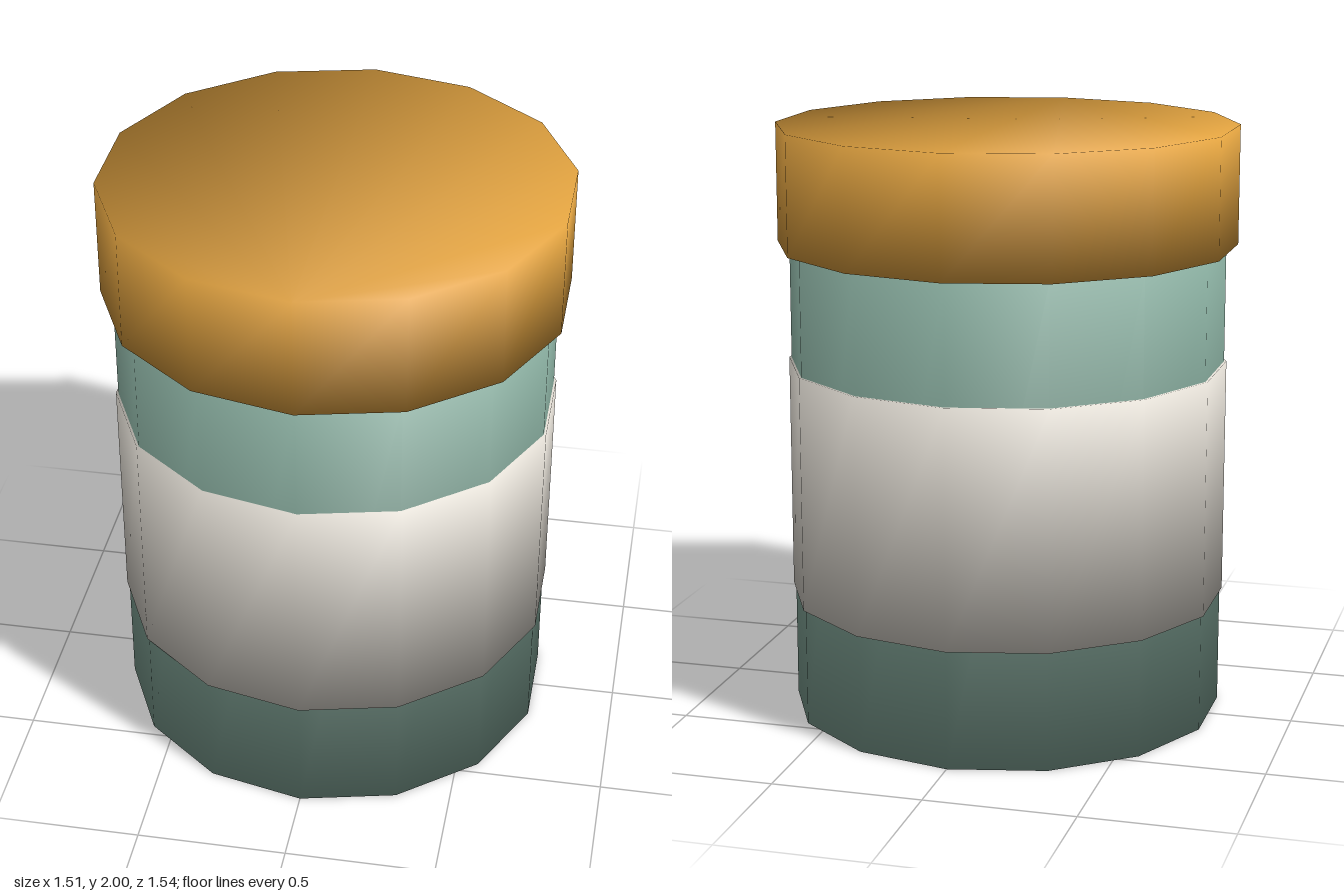
import * as THREE from 'three';

const SIDES = 14;

// Solid prism whose corners share one soft normal between wall and end face
function softDrum(radius, y0, y1) {
  const positions = [], normals = [], index = [];
  const n = new THREE.Vector3();
  for (const [y, up] of [[y0, -1], [y1, 1]]) {
    for (let i = 0; i < SIDES; i++) {
      const a = (i / SIDES) * Math.PI * 2;
      const x = Math.sin(a), z = Math.cos(a);
      positions.push(x * radius, y, z * radius);
      n.set(x, up * 0.92, z).normalize();
      normals.push(n.x, n.y, n.z);
    }
  }
  for (let i = 0; i < SIDES; i++) {
    const j = (i + 1) % SIDES;
    // wall
    index.push(i, j, SIDES + j, i, SIDES + j, SIDES + i);
    // bottom and top fans
    if (i > 0 && i < SIDES - 1) {
      index.push(0, j, i, SIDES, SIDES + i, SIDES + j);
    }
  }
  const geometry = new THREE.BufferGeometry();
  geometry.setAttribute('position', new THREE.Float32BufferAttribute(positions, 3));
  geometry.setAttribute('normal', new THREE.Float32BufferAttribute(normals, 3));
  geometry.setIndex(index);
  return geometry;
}

function material(name, color) {
  const m = new THREE.MeshStandardMaterial({ color });
  m.name = name;
  return m;
}

export function createModel() {
  const group = new THREE.Group();
  group.name = 'bottle';

  const parts = [
    // name, radius, bottom, top, material
    ['body', 0.733, 0, 1.6, material('sage green', 0x84a89a)],
    ['label', 0.741, 0.4, 1.2, material('off white', 0xe0dbd2)],
    ['lid', 0.772, 1.6, 2, material('amber', 0xe2a340)],
  ];
  for (const [name, radius, y0, y1, mat] of parts) {
    const mesh = new THREE.Mesh(softDrum(radius, y0, y1), mat);
    mesh.name = name;
    group.add(mesh);
  }
  return group;
}
